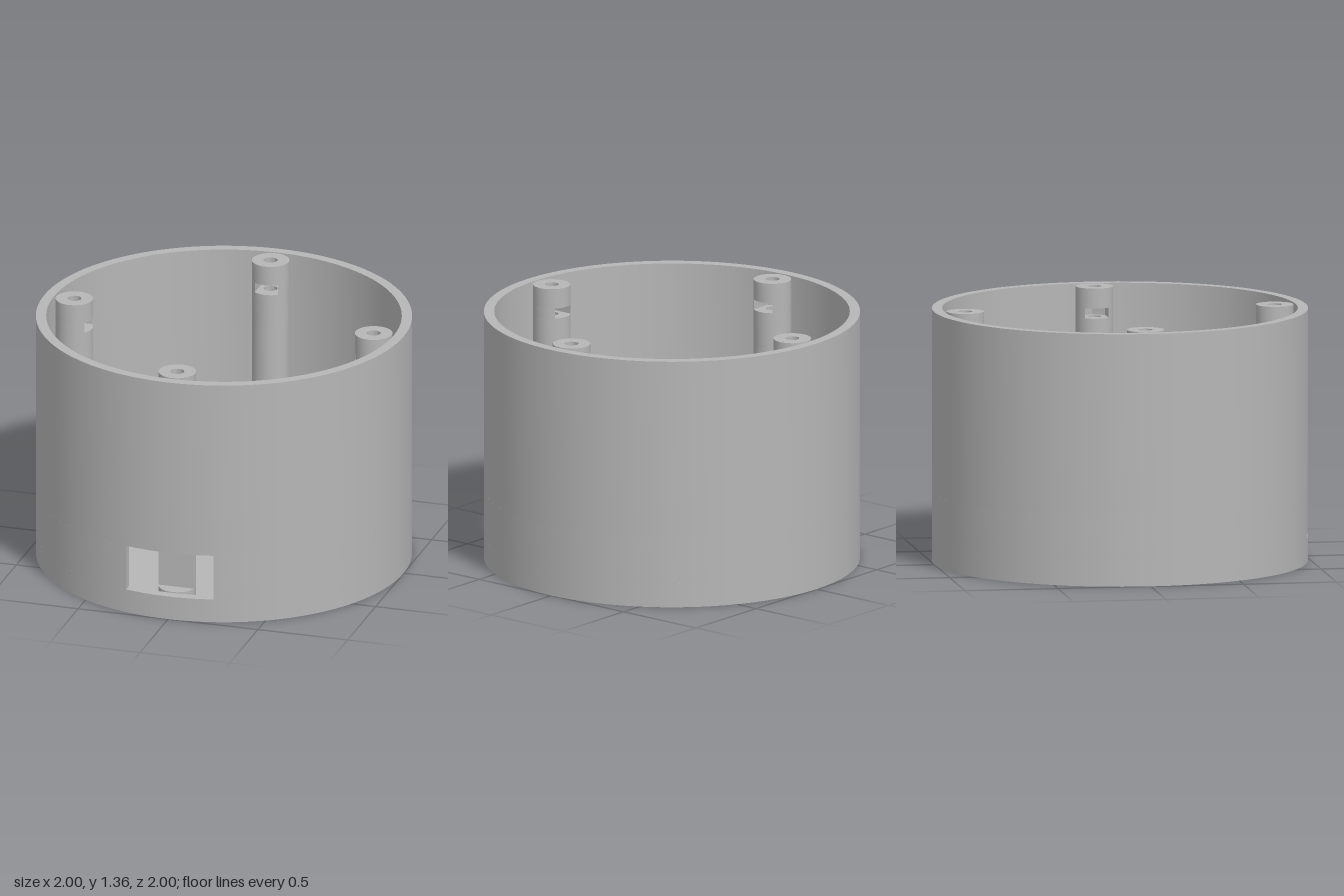
import * as THREE from 'three';
import { toCreasedNormals } from 'three/addons/utils/BufferGeometryUtils.js';

const HEIGHT = 1.355, FLOOR = 0.07, R_OUT = 1, R_IN = 0.945;
const WIN_X = 0.243, WIN_LOW = 0.13, WIN_HIGH = 0.38;
const POST_R = 0.1, POST_DIST = 0.833, HOLE_R = 0.037;
const SLOT_LOW = 1.193, SLOT_HIGH = 1.248, SLOT_X = 0.064;

const grey = new THREE.MeshStandardMaterial({ color: 0xb6b6b6 });
grey.name = 'plain grey';

// Upright slab between two heights; shape y points to world -z
function slab(name, shape, y0, y1, segments) {
  let geo = new THREE.ExtrudeGeometry(shape, { depth: y1 - y0, bevelEnabled: false, curveSegments: segments });
  geo.rotateX(-Math.PI / 2);
  geo.translate(0, y0, 0);
  geo = toCreasedNormals(geo, 0.5);
  const mesh = new THREE.Mesh(geo, grey);
  mesh.name = name;
  return mesh;
}

function disc(radius, holeRadius = 0) {
  const s = new THREE.Shape().absarc(0, 0, radius, 0, Math.PI * 2, false);
  if (holeRadius) s.holes.push(new THREE.Path().absarc(0, 0, holeRadius, 0, Math.PI * 2, true));
  return s;
}

// Wall ring with a gap at the front for the window
function openRing() {
  const a = Math.asin(WIN_X / R_OUT), b = Math.asin(WIN_X / R_IN), front = -Math.PI / 2;
  const s = new THREE.Shape();
  s.absarc(0, 0, R_OUT, front + a, front + 2 * Math.PI - a, false);
  s.absarc(0, 0, R_IN, front + 2 * Math.PI - b, front + b, true);
  s.closePath();
  return s;
}

// Post section with a nut pocket open towards the middle of the cup
function pocketSection() {
  const e = Math.acos(SLOT_X / POST_R);
  const s = new THREE.Shape();
  s.absarc(0, 0, POST_R, -e, Math.PI + e, false);
  s.lineTo(-SLOT_X, 0.037);
  s.lineTo(0, 0.074);
  s.lineTo(SLOT_X, 0.037);
  s.closePath();
  return s;
}

// Post section cut flat behind the window
function flatSection() {
  const a = Math.asin(0.2);
  const s = new THREE.Shape();
  s.absarc(0, 0, POST_R, Math.PI - a, 2 * Math.PI + a, false);
  s.closePath();
  return s;
}

function makePost(isFront) {
  const post = new THREE.Group();
  const bore = 1.0;
  if (isFront) {
    post.add(slab('postFoot', disc(POST_R), FLOOR, WIN_LOW, 20));
    post.add(slab('postCutAway', flatSection(), WIN_LOW, WIN_HIGH, 20));
    post.add(slab('postShaft', disc(POST_R), WIN_HIGH, bore, 20));
  } else {
    post.add(slab('postShaft', disc(POST_R), FLOOR, bore, 20));
  }
  post.add(slab('postBored', disc(POST_R, HOLE_R), bore, SLOT_LOW, 20));
  post.add(slab('postNutPocket', pocketSection(), SLOT_LOW, SLOT_HIGH, 20));
  post.add(slab('postTop', disc(POST_R, HOLE_R), SLOT_HIGH, HEIGHT, 20));
  post.position.z = -POST_DIST;
  return post;
}

export function createModel() {
  const model = new THREE.Group();
  model.name = 'roundHousing';

  // Floor with two rectangular slots
  const floor = disc(R_OUT);
  for (const x of [-0.688, 0.147]) {
    const x0 = x - 0.037, x1 = x + 0.037, y0 = 0.315, y1 = 0.565;
    floor.holes.push(new THREE.Path([
      new THREE.Vector2(x0, y0), new THREE.Vector2(x0, y1),
      new THREE.Vector2(x1, y1), new THREE.Vector2(x1, y0),
    ]));
  }
  model.add(slab('floor', floor, 0, FLOOR, 64));

  // Wall in three bands, the middle one open for the window
  model.add(slab('wallBelowWindow', disc(R_OUT, R_IN), FLOOR, WIN_LOW, 64));
  model.add(slab('wallBesideWindow', openRing(), WIN_LOW, WIN_HIGH, 64));
  model.add(slab('wallAboveWindow', disc(R_OUT, R_IN), WIN_HIGH, HEIGHT, 64));

  // Four screw posts: back, left and right alike, the front one cut
  ['backPost', 'rightPost', 'frontPost', 'leftPost'].forEach((name, i) => {
    const turn = new THREE.Group();
    turn.name = name;
    turn.add(makePost(name === 'frontPost'));
    turn.rotation.y = i * Math.PI / 2;
    model.add(turn);
  });
  return model;
}
